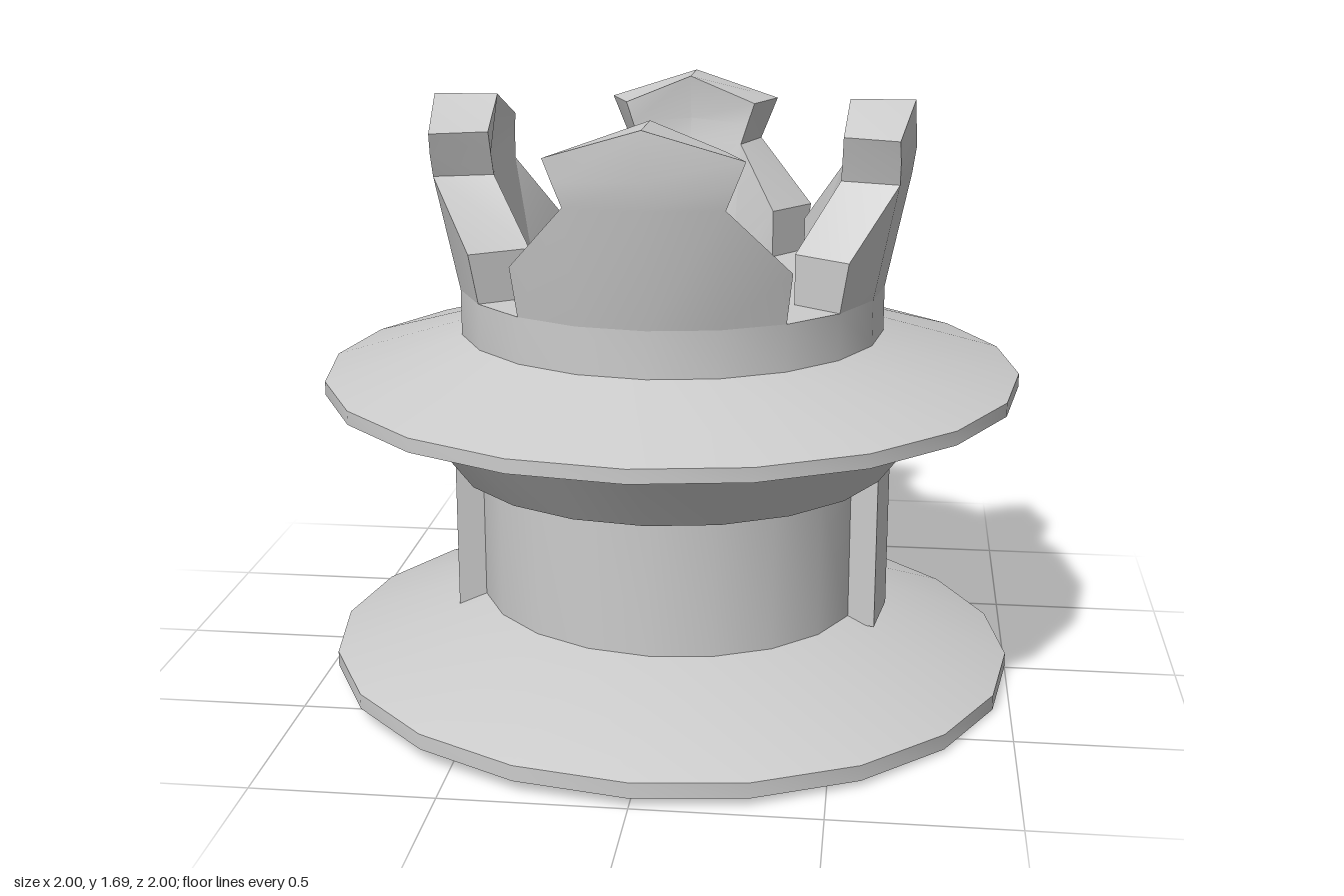
import * as THREE from 'three';
import { toCreasedNormals } from 'three/addons/utils/BufferGeometryUtils.js';

const SIDES = 20;
const STEP = (2 * Math.PI) / SIDES;
const CREASE = 0.45;
const material = new THREE.MeshStandardMaterial({ color: 0xcccccc });

function addMesh(parent, name, geometry) {
  const mesh = new THREE.Mesh(toCreasedNormals(geometry, CREASE), material);
  mesh.name = name;
  parent.add(mesh);
  return mesh;
}

function lathe(points) {
  return new THREE.LatheGeometry(points.map(([r, y]) => new THREE.Vector2(r, y)), SIDES);
}

// Linear lookup of a radius at a height
function radiusAt(table, y) {
  for (let i = 1; i < table.length; i++) {
    const [y0, r0] = table[i - 1];
    const [y1, r1] = table[i];
    if (y <= y1) return r0 + ((r1 - r0) * (y - y0)) / (y1 - y0);
  }
  return table[table.length - 1][1];
}

// Curved, flaring prong facing +z, built from cells in (angle, height)
const OUTER = [[1.16, 0.61], [1.3, 0.637], [1.485, 0.677], [1.56, 0.688], [1.61, 0.692], [1.69, 0.682]];
const INNER = [[1.16, 0.453], [1.3, 0.453], [1.485, 0.508], [1.61, 0.527], [1.69, 0.5]];

function prongGeometry() {
  const deg = Math.PI / 180;
  const rows = [
    [[-36, 1.16], [-18, 1.16], [0, 1.16], [18, 1.16], [36, 1.16]],
    [[-36, 1.3], [-18, 1.485], [0, 1.485], [18, 1.485], [36, 1.3]],
    [null, [-20, 1.548], [0, 1.56], [20, 1.548], null],
    [null, [-22, 1.61], [0, 1.69], [22, 1.61], null],
  ];
  const cells = [];
  for (let j = 0; j < rows.length - 1; j++) {
    for (let i = 0; i < 4; i++) {
      const cell = [rows[j][i], rows[j][i + 1], rows[j + 1][i + 1], rows[j + 1][i]];
      if (cell.every(Boolean)) cells.push(cell);
    }
  }
  const positions = [];
  const place = (table, [a, y]) => {
    const r = radiusAt(table, y);
    return [r * Math.sin(a * deg), y, r * Math.cos(a * deg)];
  };
  const quad = (a, b, c, d) => positions.push(...a, ...b, ...c, ...a, ...c, ...d);
  const edges = new Set();
  const eachEdge = (cell, fn) => cell.forEach((p, k) => fn(p, cell[(k + 1) % 4]));
  cells.forEach((cell) => eachEdge(cell, (p, q) => edges.add(`${p}|${q}`)));

  for (const cell of cells) {
    quad(...cell.map((p) => place(OUTER, p)));
    quad(...cell.map((p) => place(INNER, p)).reverse());
    // Close the thickness along the outline
    eachEdge(cell, (p, q) => {
      if (!edges.has(`${q}|${p}`)) {
        quad(place(OUTER, q), place(OUTER, p), place(INNER, p), place(INNER, q));
      }
    });
  }
  const geometry = new THREE.BufferGeometry();
  geometry.setAttribute('position', new THREE.Float32BufferAttribute(positions, 3));
  return geometry;
}

// Upright rib spanning one side of the drum
function ribGeometry(side) {
  const shape = new THREE.Shape();
  const corners = [[0.5, 0], [0.64, 0], [0.64, STEP], [0.5, STEP]];
  shape.setFromPoints(corners.map(([r, a]) => new THREE.Vector2(side * r * Math.cos(a), -r * Math.sin(a))));
  const geometry = new THREE.ExtrudeGeometry(shape, { depth: 0.45, bevelEnabled: false });
  return geometry.rotateX(-Math.PI / 2).translate(0, 0.195, 0);
}

export function createModel() {
  const group = new THREE.Group();
  group.name = 'crownedSpool';

  // Base flange, leaning slightly
  const base = lathe([[0, 0.023], [1, 0.023], [1, 0.067], [0.55, 0.23], [0, 0.23]]);
  const pos = base.attributes.position;
  for (let i = 0; i < pos.count; i++) {
    pos.setY(i, pos.getY(i) - 0.021 * pos.getX(i) + 0.007 * pos.getZ(i));
  }
  addMesh(group, 'baseFlange', base);

  // Central drum with a rib on each flank
  addMesh(group, 'drum', lathe([[0.56, 0.2], [0.56, 0.645]]));
  addMesh(group, 'leftRib', ribGeometry(1));
  addMesh(group, 'rightRib', ribGeometry(-1));

  // Upper flange with its conical underside and the collar of the crown
  addMesh(group, 'upperFlange', lathe([
    [0.54, 0.637], [0.64, 0.637], [0.82, 0.873], [1, 0.873], [1, 0.912],
    [0.61, 1.03], [0.61, 1.16], [0, 1.16],
  ]));

  // Four crown prongs
  const crown = new THREE.Group();
  crown.name = 'crown';
  group.add(crown);
  const prong = prongGeometry();
  for (let i = 0; i < 4; i++) {
    addMesh(crown, 'prong', prong).rotation.y = (i * Math.PI) / 2;
  }
  return group;
}
